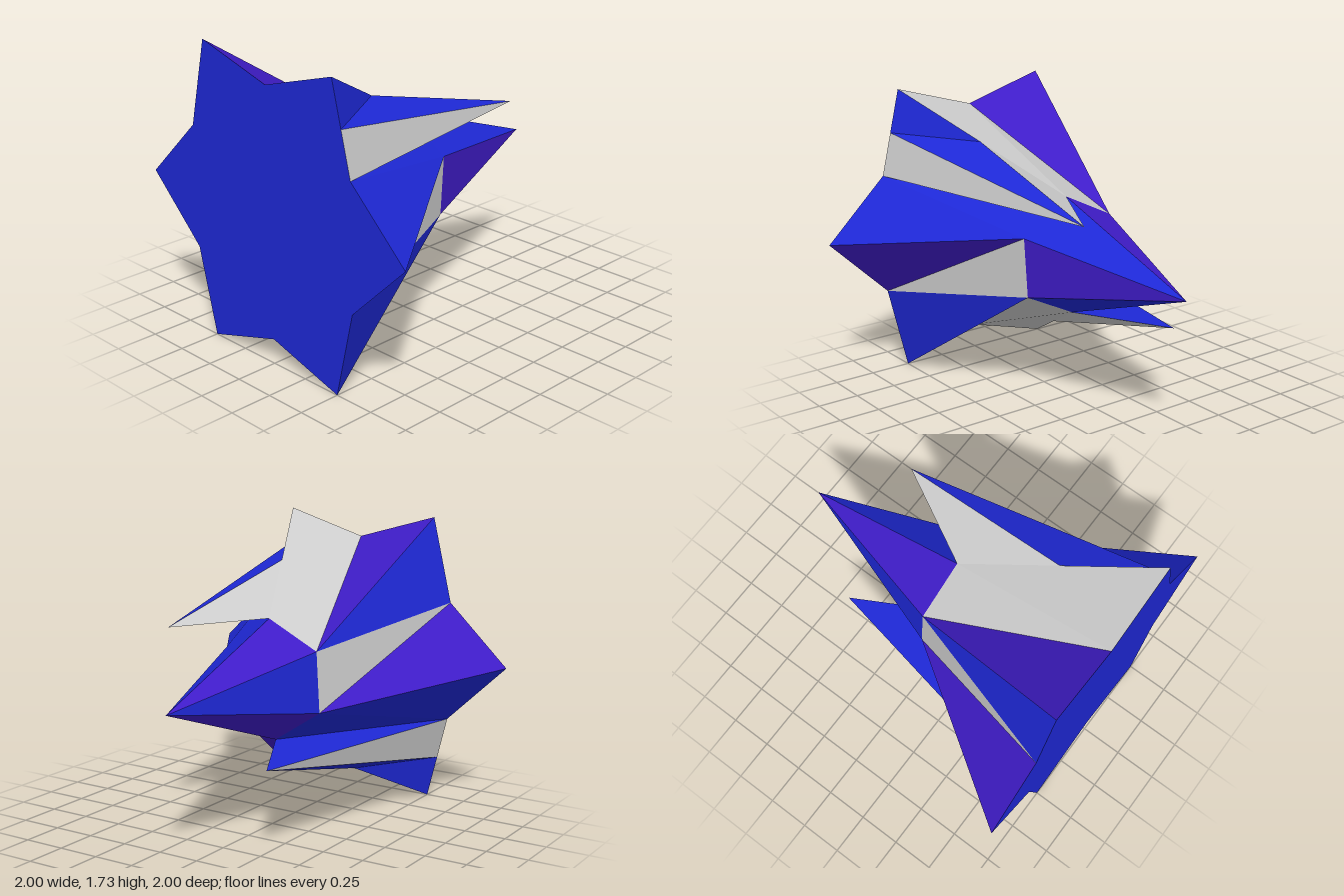
import * as THREE from 'three';

const mat = (color) => new THREE.MeshStandardMaterial({ color, flatShading: true, side: THREE.DoubleSide });
const grey = mat(0xcccccc), blue = mat(0x1e28d6), purple = mat(0x3f1cc8);

const CY = 0.87; // height of the long axis

// Point at distance r from the long axis, angle measured from +z towards +y
const ring = (x, r, deg) => {
  const a = THREE.MathUtils.degToRad(deg);
  return new THREE.Vector3(x, CY + r * Math.sin(a), r * Math.cos(a));
};
const mid = (a, b) => a.clone().lerp(b, 0.5);

// Order a triangle's corners so that it faces the nose (+x)
const toNose = ([a, b, c]) => {
  const n = b.clone().sub(a).cross(c.clone().sub(a));
  return n.x >= 0 ? [a, b, c] : [a, c, b];
};

function faces(name, triangles, material) {
  const g = new THREE.BufferGeometry().setFromPoints(triangles.flat());
  g.computeVertexNormals();
  const mesh = new THREE.Mesh(g, material);
  mesh.name = name;
  return mesh;
}

export function createModel() {
  const model = new THREE.Group();
  model.name = 'starDart';
  const add = (name, tris, material, parent = model) =>
    parent.add(faces(name, tris.map(toNose), material));

  const tip = (k) => ring(-1, 1, 60 * k);            // star points of the tail
  const notch = (k) => ring(-1, 0.72, 60 * k + 30);  // notches of the tail
  const waist = (k) => ring(0, 0.353, 60 * k + 26.4); // twisted hexagon
  const nose = new THREE.Vector3(1, CY, 0);

  // Flat star that closes the tail
  const centre = new THREE.Vector3(-1, CY, 0);
  const star = [];
  for (let k = 0; k < 6; k++) {
    star.push([centre, tip(k), notch(k)], [centre, notch(k), tip(k + 1)]);
  }
  model.add(faces('tailPlate', star, blue));

  for (let k = 0; k < 6; k++) {
    const T = tip(k), M = waist(k), before = notch(k - 1), after = notch(k);
    const hasSpike = k % 3 === 1;

    // Nose facet
    add('noseFacet', [[M, waist(k + 1), nose]], k % 2 ? purple : blue);
    // Facet from the notch to the waist
    add('notchFacet', [[after, M, waist(k + 1)]], k % 3 === 0 ? blue : grey);
    // Upper side of the ridge
    add('ridgeFacet', [[T, after, M]], hasSpike ? grey : blue);

    if (!hasSpike) {
      add('ridgeBackFacet', [[T, before, M]], purple);
      continue;
    }
    // This side is split in four, with one corner drawn out into a spike
    const spike = new THREE.Group();
    spike.name = 'spike';
    const edge = mid(T, before), ridge = mid(T, M);
    const point = mid(before, M).setX(0.55);
    add('spikeBlade', [[T, edge, ridge], [edge, point, ridge]], blue, spike);
    add('spikeSides', [[edge, before, point], [ridge, point, M]], grey, spike);
    spike.add(faces('spikeUnderside', [[before, M, point]], blue));
    model.add(spike);
  }
  return model;
}
